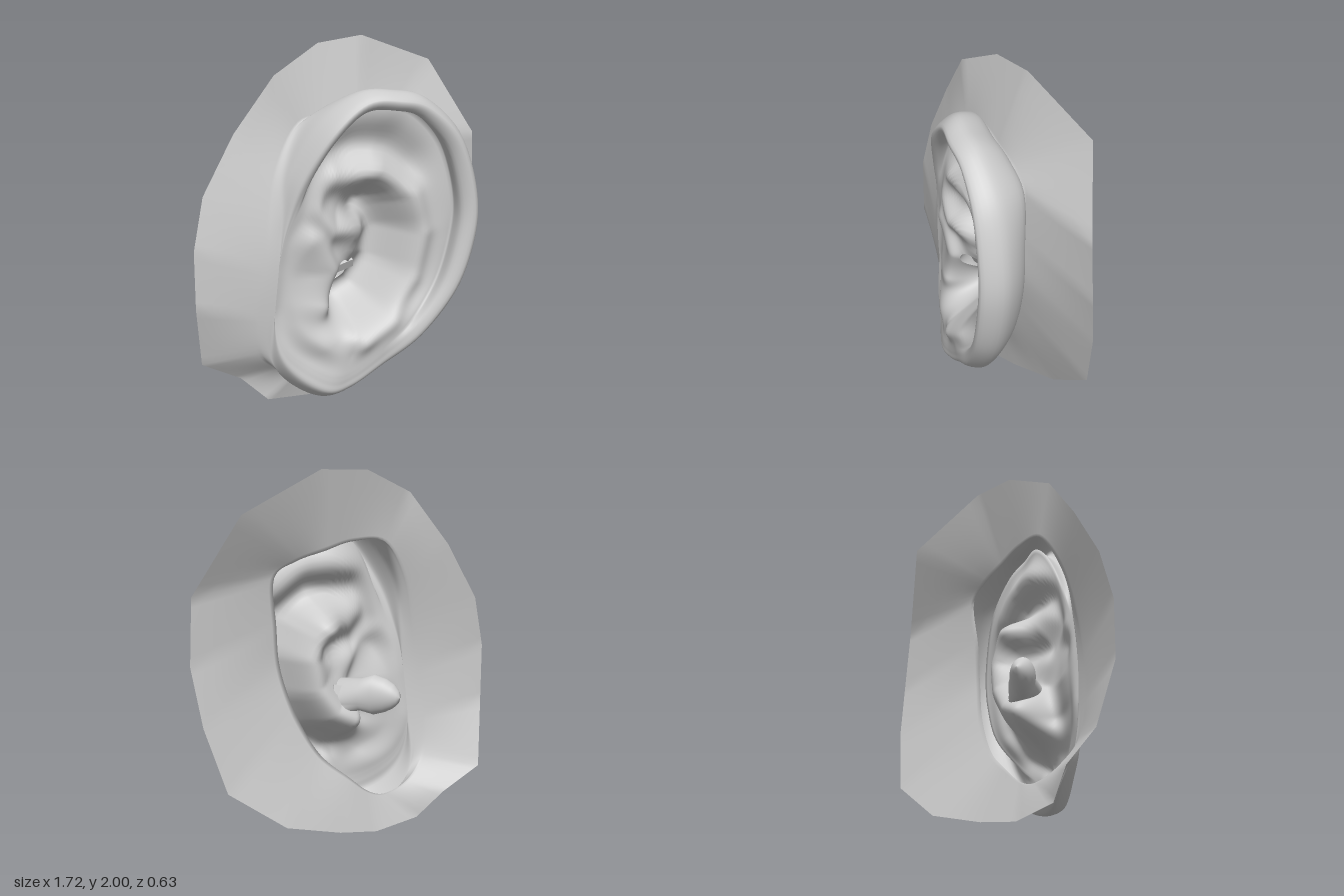
import * as THREE from 'three';

const V = (x, y, z) => new THREE.Vector3(x, y, z);
const { lerp, smoothstep, clamp } = THREE.MathUtils;
const KEYS = 18, PER = 7, N = KEYS * PER;

// Key loops, all starting at the top and running clockwise as seen from the front
const BORDER = [
  [-0.11, 1.98, -0.22], [0.16, 2.0, -0.22], [0.63, 1.82, -0.27], [0.84, 1.41, -0.13], [0.86, 1.06, -0.14], [0.82, 0.75, -0.19],
  [0.72, 0.40, -0.25], [0.40, 0.16, -0.28], [0.06, 0.05, -0.25], [-0.18, 0, -0.23], [-0.44, 0.03, -0.23], [-0.58, 0.17, -0.28],
  [-0.80, 0.29, -0.30], [-0.86, 0.64, -0.22], [-0.86, 0.96, -0.22], [-0.79, 1.24, -0.24], [-0.61, 1.55, -0.23], [-0.39, 1.84, -0.19]];
const ROOT = [
  [-0.08, 1.60, -0.13], [0.08, 1.56, -0.11], [0.23, 1.52, -0.09], [0.35, 1.44, -0.07], [0.33, 1.18, -0.05], [0.31, 0.95, -0.05],
  [0.24, 0.70, -0.09], [0.12, 0.47, -0.13], [-0.04, 0.32, -0.17], [-0.16, 0.22, -0.18], [-0.27, 0.19, -0.18], [-0.42, 0.24, -0.17],
  [-0.53, 0.36, -0.14], [-0.55, 0.58, -0.11], [-0.52, 0.85, -0.09], [-0.48, 1.10, -0.10], [-0.41, 1.37, -0.13], [-0.27, 1.58, -0.15]];
const RIM = [
  [-0.04, 1.76, 0.07], [0.14, 1.765, 0.13], [0.31, 1.715, 0.15], [0.50, 1.53, 0.17], [0.60, 1.22, 0.19], [0.60, 0.95, 0.19],
  [0.50, 0.64, 0.17], [0.30, 0.37, 0.11], [0.08, 0.21, 0.04], [-0.10, 0.10, -0.01], [-0.24, 0.08, -0.04], [-0.39, 0.18, -0.11],
  [-0.47, 0.34, -0.11], [-0.47, 0.58, -0.08], [-0.45, 0.85, -0.06], [-0.42, 1.10, -0.06], [-0.37, 1.35, -0.05], [-0.23, 1.61, 0.01]];
// Width of the rolled rim at each key, and how far its edge curls over
const ROLL = [0.10, 0.10, 0.11, 0.13, 0.13, 0.13, 0.12, 0.11, 0.10, 0.10, 0.10, 0.09, 0.05, 0, 0, 0.03, 0.08, 0.11];
const CURL = [1, 1, 1, 1, 1, 1, 0.9, 0.4, 0, 0, 0, 0, 0, 0, 0, 0, 0.4, 0.9];

// Ridges and hollows of the inner ear: path, half-width, height
const FLAP = { path: [[-0.30, 0.98], [-0.22, 0.80], [-0.26, 0.62]], w: 0.09, h: 0.08 }; // in front of the canal
const RELIEF = [
  FLAP,
  { path: [[-0.15, 1.32], [0.08, 1.31], [0.25, 1.18], [0.30, 0.97], [0.25, 0.72], [0.12, 0.52], [-0.04, 0.42]], w: 0.085, h: 0.08 }, // inner ridge
  { path: [[0.14, 0.36], [-0.12, 0.25], [-0.22, 0.38]], w: 0.17, h: 0.11 },                            // lobe
  { path: [[-0.42, 0.52], [-0.40, 1.15]], w: 0.13, h: 0.03 },                                          // cheek side
  { path: [[-0.27, 1.35], [-0.26, 1.15], [-0.17, 1.03], [0.02, 1.02]], w: 0.07, h: 0.07 },             // root of the rim
  { path: [[-0.08, 1.50], [0.10, 1.52], [0.28, 1.40]], w: 0.14, h: -0.05 },                            // upper hollow
  { path: [[0.06, 1.12], [0.14, 0.98], [0.12, 0.82], [0.02, 0.68], [-0.08, 0.63]], w: 0.12, h: -0.18 }, // bowl
];

function bump(x, y, { path, w }) {
  let best = Infinity;
  for (let i = 0; i + 1 < path.length; i++) {
    const [ax, ay] = path[i], dx = path[i + 1][0] - ax, dy = path[i + 1][1] - ay;
    const t = clamp(((x - ax) * dx + (y - ay) * dy) / (dx * dx + dy * dy), 0, 1);
    best = Math.min(best, Math.hypot(x - ax - t * dx, y - ay - t * dy));
  }
  return Math.exp(-((best / w) ** 2));
}
const relief = (x, y) => RELIEF.reduce((z, r) => z + r.h * bump(x, y, r), 0.02 + 0.27 * x);

// N points around a loop, either straight between keys or smooth
function loop(keys, smooth) {
  const pts = keys.map(k => V(...k));
  const curve = new THREE.CatmullRomCurve3(pts, true, 'catmullrom', 0.5);
  return Array.from({ length: N }, (_, i) => {
    const k = Math.floor(i / PER);
    return smooth ? curve.getPoint(i / N) : pts[k].clone().lerp(pts[(k + 1) % KEYS], (i % PER) / PER);
  });
}

// Closed skin through a list of rings, outermost first
function skin(name, rings, material) {
  const pos = [], idx = [];
  rings.forEach(ring => ring.forEach(p => pos.push(p.x, p.y, p.z)));
  for (let r = 0; r + 1 < rings.length; r++) {
    for (let i = 0; i < N; i++) {
      const a = r * N + i, b = r * N + (i + 1) % N;
      idx.push(a, a + N, b, b, a + N, b + N);
    }
  }
  const g = new THREE.BufferGeometry();
  g.setAttribute('position', new THREE.Float32BufferAttribute(pos, 3));
  g.setIndex(idx);
  g.computeVertexNormals();
  const mesh = new THREE.Mesh(g, material);
  mesh.name = name;
  return mesh;
}

export function createModel() {
  const group = new THREE.Group();
  group.name = 'ear';
  const material = new THREE.MeshStandardMaterial({ color: 0xcccccc, side: THREE.DoubleSide });
  const border = loop(BORDER, false), root = loop(ROOT, true), rim = loop(RIM, true);
  const shape = loop(ROLL.map((w, i) => [w, CURL[i], 0]), true);

  // Surrounding sheet of skin, in to the root of the ear
  const rings = [0, 0.25, 0.5, 0.75, 0.95, 1].map(t => border.map((p, i) => p.clone().lerp(root[i], t)));

  // Back of the ear and the rolled rim, one curve per column
  const centre = V(0, 0.95, 0);
  const ROWS = 25, columns = rim.map((p, i) => {
    const w = Math.max(shape[i].x, 0), curl = clamp(shape[i].y, 0, 1);
    const inward = centre.clone().sub(p).setZ(0).normalize();
    const at = (d, z) => p.clone().addScaledVector(inward, d * w).add(V(0, 0, z * w));
    const back = p.clone().lerp(root[i], 0.35).add(V(0, 0, -0.65 * w * curl));
    const points = [root[i], back, p, at(0.45, 0.95), at(1, 1.1 - 0.5 * curl), at(1.5 - 0.65 * curl, 1.15 - 1.4 * curl)];
    return new THREE.CatmullRomCurve3(points, false, 'catmullrom', 0.5);
  });
  for (let r = 1; r <= ROWS; r++) rings.push(columns.map(c => c.getPoint(r / ROWS)));

  // Inner face, running in from the rim to the mouth of the canal
  const lip = rings[rings.length - 1], mouth = V(-0.08, 0.76, 0), INNER = 30;
  for (let r = 1; r <= INNER; r++) {
    const s = r / INNER;
    rings.push(lip.map(p => {
      const end = p.clone().sub(mouth).setZ(0).setLength(0.075).add(mouth);
      const q = p.clone().lerp(end, s);
      q.z = lerp(p.z, relief(q.x, q.y), smoothstep(s, 0, 0.3));
      q.x += 0.045 * bump(q.x, q.y, FLAP) * smoothstep(s, 0, 0.5); // flap leans over the canal
      return q;
    }));
  }
  group.add(skin('outerEar', rings, material));

  // Canal, bending back and ending in a rounded tip
  const canal = [rings[rings.length - 1]];
  for (const [x, z, rx, ry] of [[-0.13, -0.15, 0.07, 0.09], [-0.185, -0.19, 0.07, 0.11], [-0.225, -0.235, 0.065, 0.09],
    [-0.25, -0.27, 0.05, 0.065], [-0.262, -0.297, 0.03, 0.035], [-0.266, -0.31, 0.001, 0.001]]) {
    canal.push(lip.map(p => {
      const a = Math.atan2(p.y - mouth.y, p.x - mouth.x), c = Math.cos(a);
      return V(x + 0.85 * rx * c, 0.77 + ry * Math.sin(a), z - 0.5 * rx * c);
    }));
  }
  group.add(skin('earCanal', canal, material));

  // Small fold inside the canal mouth
  const fold = new THREE.Mesh(new THREE.BoxGeometry(0.15, 0.05, 0.03), material);
  fold.name = 'canalFold';
  fold.position.set(-0.06, 0.78, -0.09);
  fold.rotation.set(0.4, 0, 0.28);
  group.add(fold);
  return group;
}
